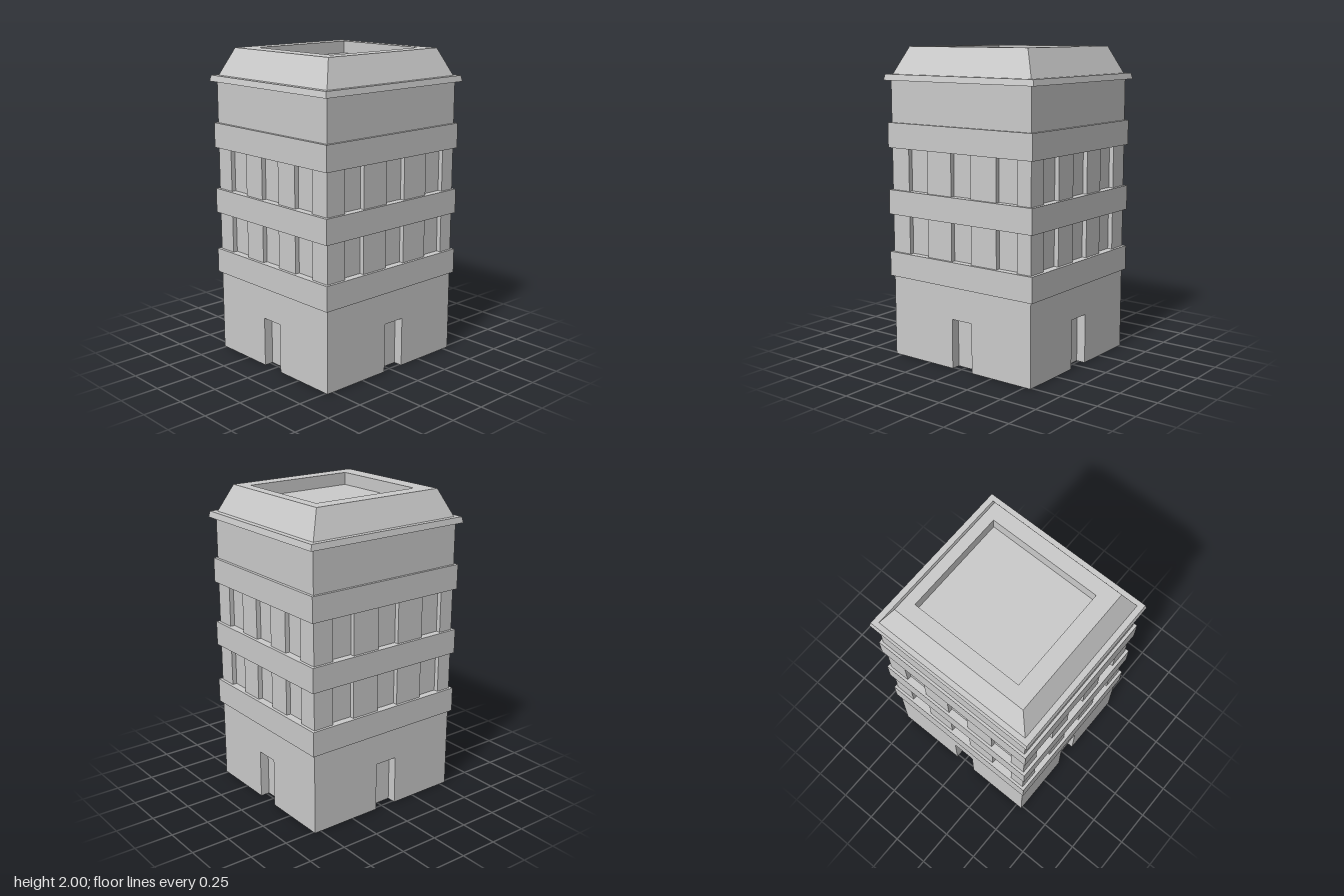
import * as THREE from 'three';

const material = new THREE.MeshStandardMaterial({ color: 0xcccccc, flatShading: true, side: THREE.DoubleSide });

// Plan outlines are lists of [x, z], running along the front, right, back, left.
// The back and left repeat the front and right turned by half a circle.
function outline(w, d, xs = [], zs = [], depth = 0) {
  const h = 0.0775; // half the width of an opening
  const half = [[-w, d]];
  for (const c of xs) half.push([c - h, d], [c - h, d - depth], [c + h, d - depth], [c + h, d]);
  half.push([w, d]);
  for (const c of zs) half.push([w, c + h], [w - depth, c + h], [w - depth, c - h], [w, c - h]);
  return [...half, ...half.map(([x, z]) => [-x, -z])];
}

// Skin between two plan outlines with the same number of corners
function wall(a, y0, b, y1) {
  const pos = [];
  a.forEach((p, i) => {
    const j = (i + 1) % a.length;
    const A = [p[0], y0, p[1]], B = [a[j][0], y0, a[j][1]];
    const C = [b[j][0], y1, b[j][1]], D = [b[i][0], y1, b[i][1]];
    pos.push(...A, ...B, ...C, ...A, ...C, ...D);
  });
  const g = new THREE.BufferGeometry();
  g.setAttribute('position', new THREE.Float32BufferAttribute(pos, 3));
  g.computeVertexNormals();
  return g;
}

// Flat level surface inside one outline, optionally with another cut out
function ledge(outer, inner, y, up = true) {
  const s = up ? -1 : 1;
  const points = o => o.map(([x, z]) => new THREE.Vector2(x, s * z));
  const shape = new THREE.Shape(points(outer));
  if (inner) shape.holes.push(new THREE.Path(points(inner)));
  return new THREE.ShapeGeometry(shape).rotateX(s * Math.PI / 2).translate(0, y, 0);
}

export function createModel() {
  const model = new THREE.Group();
  const part = (name, ...geometries) => {
    const group = new THREE.Group();
    group.name = name;
    for (const g of geometries) {
      const mesh = new THREE.Mesh(g, material);
      mesh.name = name;
      group.add(mesh);
    }
    model.add(group);
  };

  const W = 0.516, D = 0.544;
  const plain = outline(W, D);
  const doors = outline(W, D, [-0.002], [-0.018], 0.06);
  const windows = outline(W, D, [-0.312, -0.002, 0.308], [0.327, -0.018, -0.367], 0.03);
  const band = outline(0.533, 0.564);

  // Ground floor with a recessed doorway on each side
  part('groundFloor', wall(doors, 0, doors, 0.32), ledge(plain, doors, 0.32, false), wall(plain, 0.32, plain, 0.53));

  // Projecting bands, closed against the storey below and above
  const bands = [[0.53, 0.69, plain, windows], [0.936, 1.095, windows, windows], [1.365, 1.525, windows, plain]];
  for (const [y0, y1, below, above] of bands)
    part('band', ledge(band, below, y0, false), wall(band, y0, band, y1), ledge(band, above, y1));

  // Storeys with recessed windows, and the plain storey on top
  for (const [y0, y1] of [[0.69, 0.936], [1.095, 1.365]])
    part('windowStorey', wall(windows, y0, windows, y1));
  part('topStorey', wall(plain, 1.525, plain, 1.79));

  // Cornice leaning slightly inwards
  const eave = outline(0.548, 0.58), eaveTop = outline(0.54, 0.572), roofFoot = outline(0.508, 0.536);
  part('cornice', ledge(eave, plain, 1.79, false), wall(eave, 1.79, eaveTop, 1.828), ledge(eaveTop, roofFoot, 1.828));

  // Sloped roof with a sunken deck
  const rim = outline(0.434, 0.458);
  const deck = outline(0.34, 0.37).map(([x, z]) => [x, z - 0.02]);
  part('roof', wall(roofFoot, 1.828, rim, 2), ledge(rim, deck, 2));
  part('roofDeck', wall(deck, 2, deck, 1.92), ledge(deck, null, 1.92));

  return model;
}
